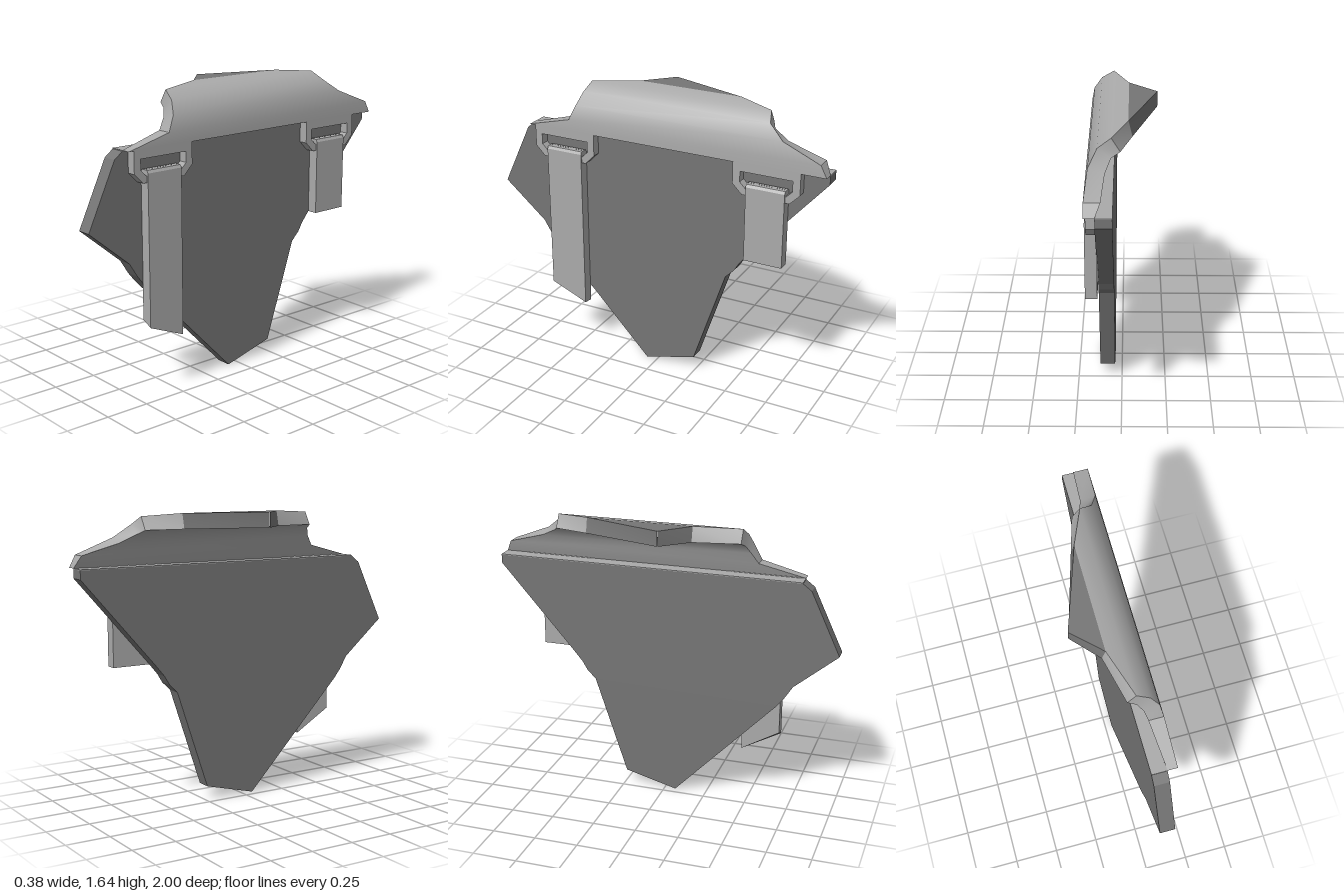
import * as THREE from 'three';
import { toCreasedNormals } from 'three/addons/utils/BufferGeometryUtils.js';

const light = new THREE.MeshStandardMaterial({ color: 0xaaaaaa });
light.name = 'lightGrey';
const dark = new THREE.MeshStandardMaterial({ color: 0x757575 });
dark.name = 'darkGrey';

function addMesh(parent, name, geometry, material) {
  const mesh = new THREE.Mesh(geometry, material);
  mesh.name = name;
  parent.add(mesh);
  return mesh;
}

// Outline given as [z, y] points, extruded along x from x0 to x1
function slab(points, x0, x1, hole) {
  const toVec = ([z, y]) => new THREE.Vector2(-z, y);
  const shape = new THREE.Shape(points.map(toVec));
  if (hole) shape.holes.push(new THREE.Path(hole.map(toVec)));
  const geo = new THREE.ExtrudeGeometry(shape, { depth: x1 - x0, bevelEnabled: false });
  geo.rotateY(Math.PI / 2);
  geo.translate(x0, 0, 0);
  return geo;
}

// Skin four-cornered sections: [outerX, outerY, innerX, innerY, zFront, zBack]
function loft(sections, startCap) {
  const rings = sections.map(([ox, oy, ix, iy, zf, zb]) =>
    [[ox, oy, zf], [ox, oy, zb], [ix, iy, zb], [ix, iy, zf]]);
  const pos = [];
  const quad = (a, b, c, d) => pos.push(...a, ...b, ...c, ...a, ...c, ...d);
  for (let s = 0; s < rings.length - 1; s++) {
    for (let k = 0; k < 4; k++) {
      const n = (k + 1) % 4;
      quad(rings[s][k], rings[s][n], rings[s + 1][n], rings[s + 1][k]);
    }
  }
  if (startCap) quad(...[...rings[0]].reverse());
  const geo = new THREE.BufferGeometry();
  geo.setAttribute('position', new THREE.Float32BufferAttribute(pos, 3));
  geo.computeVertexNormals();
  return toCreasedNormals(geo, 0.65);
}

// Buckle loop with a hanging strap, centred on z
function addBuckle(parent, name, z, strapFrontY, strapBackY, slant) {
  const group = new THREE.Group();
  group.name = name;
  const frame = [[0.19, 1.365], [0.19, 1.24], [0.135, 1.185], [-0.135, 1.185], [-0.19, 1.24], [-0.19, 1.365]];
  const hole = [[0.148, 1.315], [0.148, 1.255], [0.115, 1.222], [-0.115, 1.222], [-0.148, 1.255], [-0.148, 1.315]];
  const shift = (pts) => pts.map(([pz, py]) => [pz + z, py]);
  addMesh(group, 'buckleFrame', slab(shift(frame), 0.12, 0.176, shift(hole)), light);

  const w = 0.11;
  const strap = slab(shift([[w, 1.235], [w, strapFrontY], [-w, strapBackY], [-w, 1.235]]), 0.122, 0.185);
  // Skew the lower end on the inner side
  const p = strap.attributes.position;
  for (let i = 0; i < p.count; i++) {
    if (p.getX(i) < 0.15 && p.getY(i) < 1.2) {
      p.setY(i, p.getY(i) + slant * (p.getZ(i) > z ? 0.03 : -0.01));
    }
  }
  strap.computeVertexNormals();
  addMesh(group, 'strap', strap, light);

  // Bevelled fold at the top of the strap
  addMesh(group, 'strapFold', loft([
    [0.185, 1.235, 0.122, 1.235, z + w, z - w],
    [0.176, 1.25, 0.135, 1.25, z + w, z - w],
    [0.156, 1.251, 0.155, 1.251, z + w, z - w],
  ], false), light);
  parent.add(group);
}

export function createModel() {
  const model = new THREE.Group();
  model.name = 'armourPlate';

  // Flat hanging plate
  addMesh(model, 'mainPlate', slab([
    [1, 0.96], [0.83, 1.32], [0.78, 1.358], [-1, 1.358], [-1, 1.31],
    [-0.56, 0.81], [-0.51, 0.75], [-0.48, 0.70], [-0.43, 0.65], [-0.24, 0.08],
    [0.065, 0], [0.66, 0.62], [0.70, 0.67], [0.75, 0.75],
  ], 0.04, 0.125), dark);

  // Light strip along the plate's top edge
  addMesh(model, 'plateTopEdge', slab([[0.78, 1.358], [0.78, 1.363], [-1, 1.363], [-1, 1.358]], 0.04, 0.125), light);

  // Curved upper shell, trimmed narrower as it rolls inward
  const bendEnd = [-0.035, 1.645, -0.055, 1.56, 0.18, -0.43];
  addMesh(model, 'curvedShell', loft([
    [0.18, 1.363, 0.125, 1.363, 0.78, -1],
    [0.18, 1.43, 0.097, 1.43, 0.52, -0.965],
    [0.165, 1.515, 0.08, 1.49, 0.48, -0.75],
    [0.12, 1.585, 0.05, 1.535, 0.455, -0.66],
    [0.05, 1.63, 0.005, 1.557, 0.44, -0.635],
    bendEnd,
  ], true), light);

  // Flat pointed tip of the shell
  addMesh(model, 'shellTip', loft([bendEnd, [-0.19, 1.645, -0.19, 1.56, 0.031, 0.029]], false), dark);

  addBuckle(model, 'frontBuckle', 0.555, 0.39, 0.3, 1);
  addBuckle(model, 'backBuckle', -0.67, 0.81, 0.81, 0);

  return model;
}
